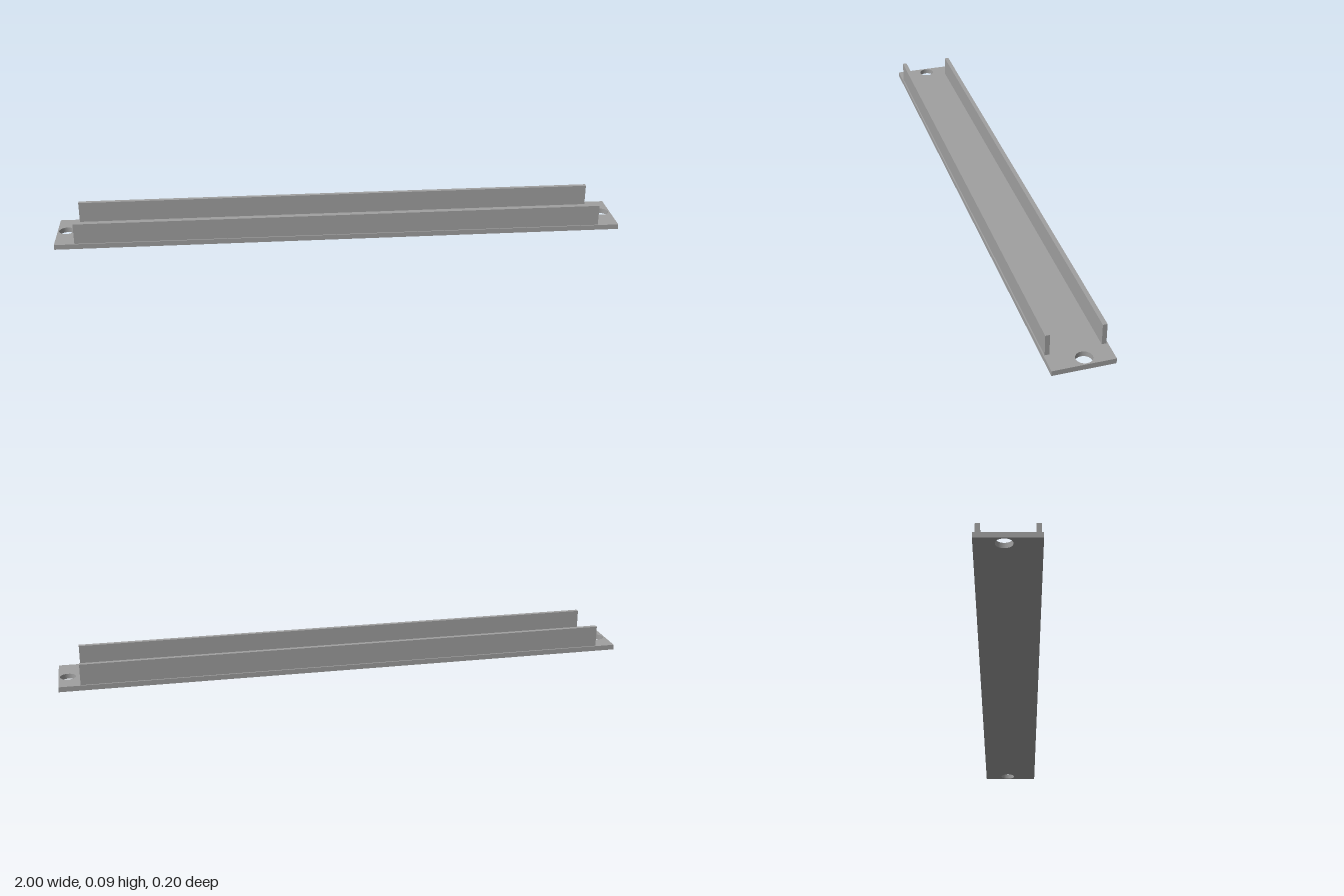
import * as THREE from 'three';

export function createModel() {
  const model = new THREE.Group();
  model.name = 'channelRail';

  const grey = new THREE.MeshStandardMaterial({ color: 0xa0a0a0 });
  grey.name = 'grey';

  const length = 2, width = 0.205, thickness = 0.018;

  // Base plate with a screw hole at each end, drawn flat and laid down
  const outline = new THREE.Shape();
  outline.moveTo(-length / 2, -width / 2);
  outline.lineTo(length / 2, -width / 2);
  outline.lineTo(length / 2, width / 2);
  outline.lineTo(-length / 2, width / 2);
  outline.closePath();
  for (const side of [-1, 1]) {
    const hole = new THREE.Path();
    hole.absarc(side * 0.968, 0.011, 0.027, 0, Math.PI * 2, true);
    outline.holes.push(hole);
  }
  const plateGeometry = new THREE.ExtrudeGeometry(outline, {
    depth: thickness, bevelEnabled: false, curveSegments: 32,
  });
  plateGeometry.rotateX(-Math.PI / 2);
  const plate = new THREE.Mesh(plateGeometry, grey);
  plate.name = 'basePlate';
  model.add(plate);

  // Two upright walls running along the plate
  const wallHeight = 0.074;
  const wallGeometry = new THREE.BoxGeometry(1.856, wallHeight, 0.015);
  for (const [name, z] of [['frontWall', 0.091], ['backWall', -0.09]]) {
    const wall = new THREE.Mesh(wallGeometry, grey);
    wall.name = name;
    wall.position.set(-0.002, thickness + wallHeight / 2, z);
    model.add(wall);
  }

  return model;
}
